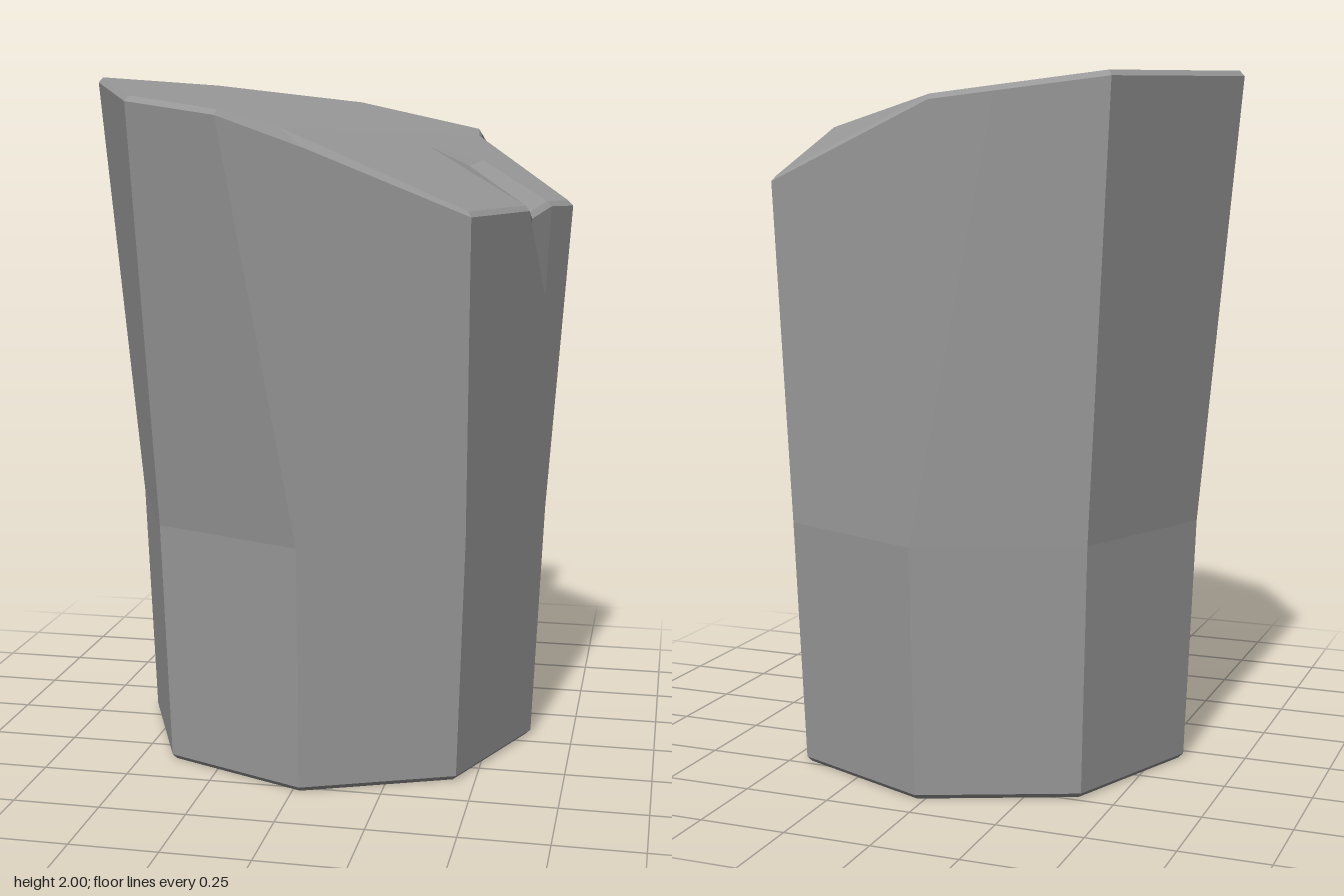
import * as THREE from 'three';

// Octagonal ring of corners, keyed A (left) through front C, right E, back G to H
const KEYS = [...'ABCDEFGH'];
function ring(prefix, radius, y) {
  const pts = {};
  KEYS.forEach((k, i) => {
    const a = (i * Math.PI) / 4;
    pts[prefix + k] = [0.022 - radius * Math.cos(a), y, -0.063 + radius * Math.sin(a)];
  });
  return pts;
}

// Height of the sloping broken face
const slope = (x, z) => 1.64 + 0.557 * (0.614 - 0.932 * x - 0.363 * z);

// Broken rim, counterclockwise from above; P, N end the crease, R, V, Q are the crack mouth
const RIM = {
  A: [-0.71, 2.0, 0], B: [-0.48, 1.945, 0.46], C: [-0.16, 1.91, 0.7], P: [-0.02, 1.865, 0.595],
  D: [0.48, 1.64, 0.46], R: [0.607, 1.64, 0.155], V: [0.61, 1.615, 0.1], Q: [0.657, 1.645, 0.0],
  E: [0.71, 1.64, -0.13], N: [0.42, 1.825, -0.28], M: [0.41, 1.845, -0.35], F: [0.46, 1.71, -0.615],
  G: [-0.02, 1.925, -0.64], X: [-0.2, 1.945, -0.63], H: [-0.51, 1.98, -0.6],
};

// Mesh from faces; each face is a list of corner-key triangles that share one averaged normal
function facets(name, pts, faces) {
  const pos = [], nor = [];
  for (const face of faces) {
    const tris = face.split(', ').map((t) => t.split(' ').map((k) => new THREE.Vector3(...pts[k])));
    const normal = new THREE.Vector3();
    for (const [a, b, c] of tris) normal.add(b.clone().sub(a).cross(c.clone().sub(a)));
    normal.normalize();
    for (const p of tris.flat()) {
      pos.push(...p.toArray());
      nor.push(...normal.toArray());
    }
  }
  const geo = new THREE.BufferGeometry();
  geo.setAttribute('position', new THREE.Float32BufferAttribute(pos, 3));
  geo.setAttribute('normal', new THREE.Float32BufferAttribute(nor, 3));
  const mesh = new THREE.Mesh(geo, new THREE.MeshStandardMaterial({ color: 0x999999 }));
  mesh.name = name;
  return mesh;
}

const quad = (a, b, c, d) => `${a} ${b} ${c}, ${a} ${c} ${d}`;

export function createModel() {
  const group = new THREE.Group();
  group.name = 'stonePillar';

  const pts = { ...ring('f', 0.585, 0), ...ring('b', 0.6, 0.015), ...ring('m', 0.63, 0.72) };
  // o = outer rim edge, plain key = inset inner edge
  for (const [k, [x, y, z]] of Object.entries(RIM)) {
    pts['o' + k] = [x, y - 0.015, z];
    pts[k] = [x * 0.98, y, z * 0.98];
  }
  // The rim bevel widens where the crease runs out at the front
  pts.oP = [0.05, 1.81, 0.592];
  // Crack: tip, shoulder, valley, foot of the scoop and lower end
  pts.T = [0.31, slope(0.31, 0.09), 0.09];
  pts.S = [0.45, slope(0.45, -0.05), -0.05];
  pts.W = [0.42, 1.745, 0.03];
  pts.K = [0.61, 1.48, 0.08];
  pts.L = [0.645, 1.36, 0.01];

  // Base cap, bottom bevel and lower shaft
  const base = [], shaft = [];
  KEYS.forEach((k, i) => {
    const n = KEYS[(i + 1) % 8];
    if (i > 0 && i < 7) base.push(`fA f${n} f${k}`);
    base.push(quad('f' + k, 'f' + n, 'b' + n, 'b' + k));
    shaft.push(quad('b' + k, 'b' + n, 'm' + n, 'm' + k));
  });
  group.add(facets('base', pts, base), facets('lowerShaft', pts, shaft));

  // Upper shaft: left sides, front, cracked side, notched side and back sides
  group.add(facets('upperShaft', pts, [
    quad('mA', 'mB', 'oB', 'oA'),
    quad('mB', 'mC', 'oC', 'oB'),
    'mC mD oD, mC oD oP, mC oP oC',
    'mD L oD, mD mE L, mE oE L, L oE oQ, L oR oD',
    'mE mF oE, mF oN oE, mF oM oN, mF oF oM',
    'mF mG oF, mG oG oF, mG oX oG',
    'mG mH oX, mH oH oX',
    quad('mH', 'mA', 'oA', 'oH'),
  ]));

  // Narrow bevel round the rim
  const rimKeys = Object.keys(RIM);
  group.add(facets('rimBevel', pts, rimKeys.map((k, i) => {
    const n = rimKeys[(i + 1) % rimKeys.length];
    return quad('o' + k, 'o' + n, n, k);
  })));

  // Top plane, back corner chip, sloping face and crack
  group.add(facets('top', pts, ['A B C, A C P, A P N, A N M, A M G, A G X, A X H']));
  group.add(facets('cornerChip', pts, ['M F G']));
  group.add(facets('slopingFace', pts, ['P D R, P R T, P T N, T S N, S Q N, Q E N']));
  group.add(facets('crack', pts, [
    'T R W, R V W', 'T W S', 'W V Q, W Q S',
    'L oQ K, oQ oV K', 'K oV oR, L K oR',
  ]));
  return group;
}
